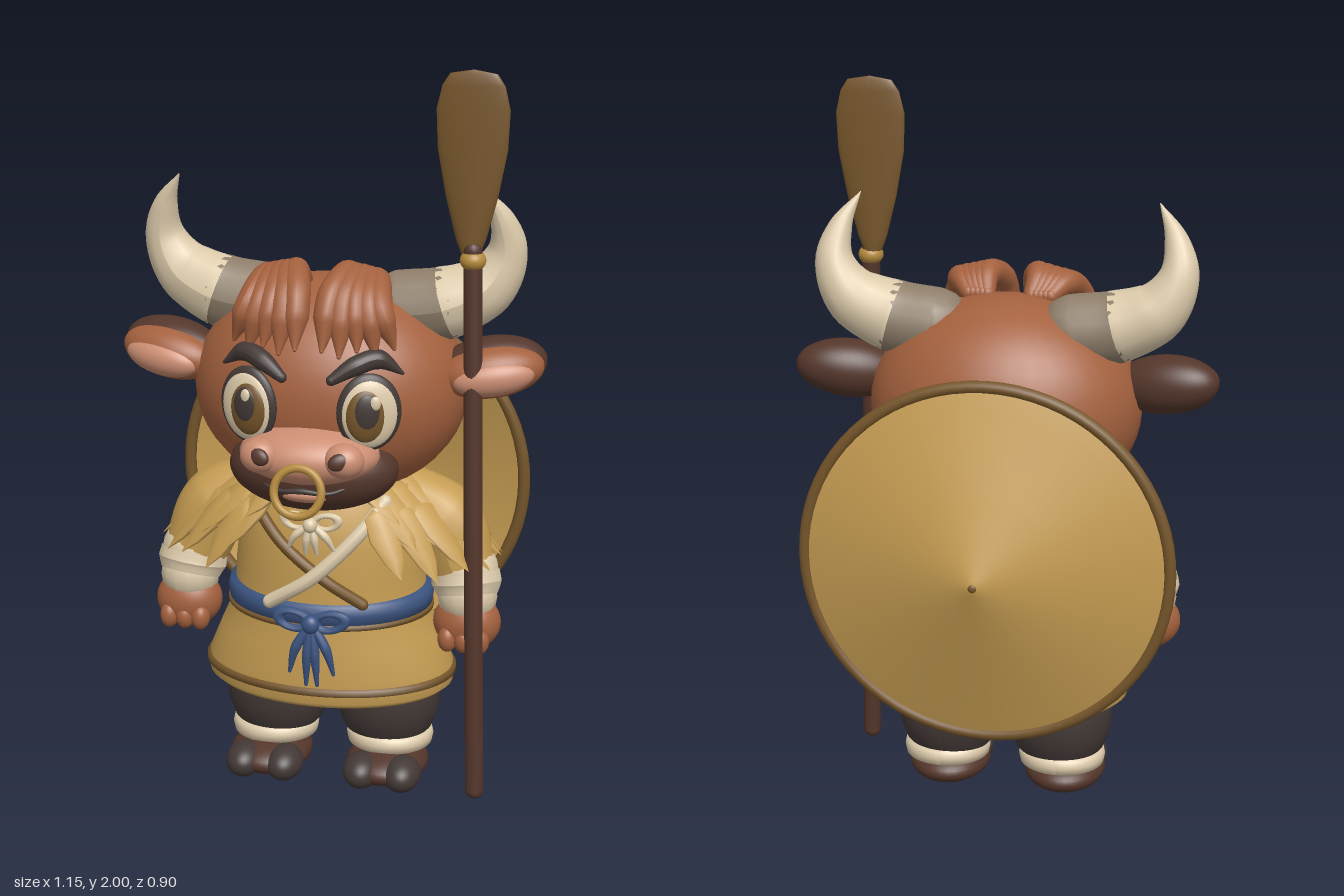
import * as THREE from 'three';

const mat = (name, color, side = THREE.FrontSide) => {
  const m = new THREE.MeshStandardMaterial({ color, side });
  m.name = name;
  return m;
};

export function createModel() {
  const fur = mat('fur', 0xa4613e);
  const dark = mat('darkBrown', 0x54362b);
  const pink = mat('pink', 0xcb8d72);
  const cream = mat('cream', 0xddcbab);
  const straw = mat('straw', 0xc59c52, THREE.DoubleSide);
  const blue = mat('blue', 0x3c5480);
  const charcoal = mat('charcoal', 0x433936);
  const wood = mat('wood', 0x75552a);
  const taupe = mat('taupe', 0x8f7f6b);
  const gold = mat('gold', 0xb48a3c);

  const root = new THREE.Group();
  root.name = 'bullFigure';
  const V = (p) => new THREE.Vector3(...p);

  const add = (name, geo, m, pos = [0, 0, 0], rot = [0, 0, 0], parent = root) => {
    const mesh = new THREE.Mesh(geo, m);
    mesh.name = name;
    mesh.position.set(...pos);
    mesh.rotation.set(...rot);
    parent.add(mesh);
    return mesh;
  };
  const ball = (name, m, pos, radii, rot, parent) =>
    add(name, new THREE.SphereGeometry(1, 36, 24).scale(...radii), m, pos, rot, parent);

  // Tube along a curve whose radius follows a list of radii, with round ends
  const taper = (name, m, pts, radii, from = 0, to = 1, parent = root) => {
    const curve = new THREE.CatmullRomCurve3(pts.map(V));
    const seg = 28, sides = 16;
    const part = new THREE.CatmullRomCurve3(
      Array.from({ length: seg + 1 }, (_, i) => curve.getPoint(from + (to - from) * i / seg)));
    const geo = new THREE.TubeGeometry(part, seg, 1, sides);
    const p = geo.attributes.position, v = new THREE.Vector3();
    const at = (t) => {
      const f = t * (radii.length - 1), i = Math.min(Math.floor(f), radii.length - 2);
      return THREE.MathUtils.lerp(radii[i], radii[i + 1], f - i);
    };
    for (let n = 0; n < p.count; n++) {
      const t = Math.floor(n / (sides + 1)) / seg, c = part.getPointAt(t);
      v.fromBufferAttribute(p, n).sub(c).multiplyScalar(at(from + (to - from) * t)).add(c);
      p.setXYZ(n, v.x, v.y, v.z);
    }
    geo.computeVertexNormals();
    const mesh = add(name, geo, m, undefined, undefined, parent);
    for (const [e, t] of [[0, from], [1, to]]) {
      const r = at(t);
      if (r > 0.002) {
        const c = part.getPointAt(e);
        add(name + 'End', new THREE.SphereGeometry(r * 0.99, 14, 10), m, [c.x, c.y, c.z], undefined, parent);
      }
    }
    return mesh;
  };

  // Oval cross-sections [y, rx, rz] stacked upward
  const loft = (name, m, rows, pos) => {
    const geo = new THREE.LatheGeometry(rows.map((r) => new THREE.Vector2(1, r[0])), 56, Math.PI);
    const p = geo.attributes.position;
    for (let n = 0; n < p.count; n++) {
      const [, rx, rz] = rows[n % rows.length];
      p.setX(n, p.getX(n) * rx);
      p.setZ(n, p.getZ(n) * rz);
    }
    geo.computeVertexNormals();
    return add(name, geo, m, pos);
  };

  const headZ = (x, y) => 0.03 + 0.3 * Math.sqrt(Math.max(0, 1 - (x / 0.37) ** 2 - ((y - 1.14) / 0.3) ** 2));

  // Head and muzzle
  ball('head', fur, [0, 1.14, 0.03], [0.37, 0.3, 0.29]);
  ball('muzzle', dark, [0, 0.975, 0.24], [0.225, 0.115, 0.13]);
  ball('nose', pink, [0, 1.025, 0.285], [0.185, 0.08, 0.125]);
  ball('lowerLip', pink, [0, 0.93, 0.3], [0.1, 0.03, 0.065]);
  taper('mouth', charcoal, [[-0.13, 0.965, 0.335], [-0.07, 0.945, 0.365], [0, 0.95, 0.375], [0.07, 0.945, 0.365], [0.13, 0.965, 0.335]], [0.003, 0.008, 0.003]);
  add('noseRing', new THREE.TorusGeometry(0.062, 0.011, 12, 40), gold, [0, 0.965, 0.425], [-0.25, 0, 0]);

  for (const s of [-1, 1]) {
    ball('nostrilBump', pink, [s * 0.11, 1.04, 0.375], [0.052, 0.046, 0.045]);
    ball('nostril', dark, [s * 0.105, 1.048, 0.41], [0.03, 0.022, 0.014], [-0.25, s * 0.25, s * 0.4]);

    // Eye: stacked shallow domes
    const eye = new THREE.Group();
    eye.name = 'eye';
    eye.position.set(s * 0.158, 1.15, headZ(0.158, 1.15) - 0.004);
    eye.rotation.y = s * 0.33;
    root.add(eye);
    ball('eyeRim', charcoal, [0, 0, 0], [0.084, 0.103, 0.026], [0, 0, 0], eye);
    ball('eyeWhite', cream, [0, -0.002, 0.007], [0.074, 0.092, 0.026], [0, 0, 0], eye);
    ball('iris', wood, [-s * 0.008, -0.004, 0.017], [0.055, 0.073, 0.021], [0, 0, 0], eye);
    ball('pupil', charcoal, [-s * 0.008, 0.004, 0.026], [0.037, 0.052, 0.015], [0, 0, 0], eye);
    ball('eyeGlint', cream, [0.012, 0.032, 0.034], [0.014, 0.019, 0.008], [0, 0, 0], eye);

    taper('eyebrow', charcoal, [[0.065, 1.235], [0.12, 1.268], [0.175, 1.282], [0.235, 1.245]]
      .map(([x, y]) => [s * x, y, headZ(x, y) + 0.012]), [0.014, 0.026, 0.026, 0.005]);

    // Ear
    const ear = new THREE.Group();
    ear.name = 'ear';
    ear.position.set(s * 0.435, 1.215, 0.04);
    ear.rotation.set(0, s * 0.25, s * 0.13);
    root.add(ear);
    ball('earBack', dark, [0, 0, -0.01], [0.148, 0.08, 0.08], [0, 0, 0], ear);
    ball('earFront', fur, [-s * 0.005, -0.005, 0.025], [0.14, 0.07, 0.075], [0, 0, 0], ear);
    ball('earInner', pink, [-s * 0.005, -0.012, 0.065], [0.108, 0.048, 0.045], [0, 0, 0], ear);

    // Horn with a dull base
    const path = [[0.19, 1.355, 0.01], [0.31, 1.375, 0.01], [0.415, 1.43, 0], [0.463, 1.52, 0.005], [0.45, 1.61, 0.03], [0.402, 1.697, 0.063]]
      .map(([x, y, z]) => [s * x, y, z]);
    const radii = [0.1, 0.098, 0.083, 0.056, 0.032, 0.001];
    taper('hornBase', taupe, path, radii, 0, 0.19);
    taper('horn', cream, path, radii, 0.19, 1);

    // Forelock strands
    for (let i = 0; i < 5; i++) {
      const x = 0.035 + i * 0.044, t = 0.06 + i * 0.013;
      taper('hairStrand', fur, [
        [s * t, 1.43, 0.075], [s * (t + 0.01 + i * 0.005), 1.47 - i * 0.004, 0.13],
        [s * (x * 0.6 + t * 0.4), 1.435 - i * 0.008, 0.23],
        [s * x, 1.305 - (i % 2) * 0.015, headZ(x, 1.3) + 0.02],
      ], [0.022, 0.036, 0.036, 0.033, 0.006]);
    }

    // Arm
    taper('sleeve', straw, [[s * 0.19, 0.84, 0.03], [s * 0.32, 0.77, 0.045], [s * 0.372, 0.66, 0.065]], [0.09, 0.105, 0.09]);
    taper('cuff', cream, [[s * 0.379, 0.645, 0.068], [s * 0.384, 0.615, 0.075], [s * 0.388, 0.585, 0.085]], [0.093, 0.096, 0.083]);
    ball('hand', fur, [s * 0.39, 0.51, 0.092], [0.092, 0.08, 0.076]);
    for (let i = 0; i < 3; i++)
      ball('finger', fur, [s * (0.345 + i * 0.044), 0.475, 0.145], [0.026, 0.036, 0.028]);

    // Leg and hoof
    loft('trouserLeg', charcoal, [[0.11, 0.09, 0.08], [0.15, 0.125, 0.11], [0.21, 0.145, 0.13], [0.27, 0.147, 0.13], [0.34, 0.135, 0.12], [0.4, 0.11, 0.1]], [s * 0.157, 0, 0.01]);
    loft('ankleBand', cream, [[0.09, 0.1, 0.09], [0.1, 0.118, 0.112], [0.12, 0.122, 0.116], [0.138, 0.118, 0.112], [0.148, 0.1, 0.09]], [s * 0.165, 0, 0.01]);
    ball('foot', dark, [s * 0.167, 0.056, 0.055], [0.114, 0.053, 0.14]);
    for (const k of [-1, 1])
      ball('hoofToe', charcoal, [s * 0.167 + k * 0.057, 0.056, 0.14], [0.052, 0.048, 0.07]);
  }

  // Tunic with hem and sash
  const Z = 0.035;
  loft('tunic', straw, [[0.32, 0, 0], [0.29, 0.325, 0.222], [0.305, 0.343, 0.235], [0.36, 0.342, 0.234], [0.45, 0.305, 0.226], [0.54, 0.265, 0.214],
    [0.64, 0.262, 0.212], [0.74, 0.25, 0.205], [0.83, 0.23, 0.19], [0.93, 0.16, 0.14]], [0, 0, Z]);
  loft('hemTrim', wood, [[0.325, 0.34, 0.23], [0.33, 0.351, 0.242], [0.347, 0.351, 0.242], [0.352, 0.335, 0.228]], [0, 0, Z]);
  loft('sashTrim', wood, [[0.512, 0.27, 0.21], [0.516, 0.286, 0.228], [0.528, 0.286, 0.228], [0.532, 0.26, 0.21]], [0, 0, Z]);
  loft('sash', blue, [[0.525, 0.26, 0.21], [0.531, 0.282, 0.226], [0.558, 0.286, 0.229], [0.582, 0.28, 0.224], [0.59, 0.255, 0.2]], [0, 0, Z]);

  // Bows: one on the sash, one at the collar
  const bow = (name, m, y, z, k, drop) => {
    ball(name + 'Knot', m, [0, y, z + 0.012], [0.024 * k, 0.026 * k, 0.02]);
    for (const s of [-1, 1]) {
      add(name + 'Loop', new THREE.TorusGeometry(0.032 * k, 0.012 * k, 10, 24).scale(1.3, 0.75, 1), m, [s * 0.05 * k, y + 0.006, z], [0, 0, s * 0.2]);
      for (const [w, f] of [[0.06, 0.8], [0.015, 1]])
        taper(name + 'Tail', m, [[0, y, z], [s * w * 0.7, y - drop * f * 0.5, z + 0.008], [s * w, y - drop * f, z]], [0.012 * k, 0.014 * k, 0.005]);
    }
  };
  bow('sashBow', blue, 0.543, 0.275, 1, 0.18);
  bow('collarBow', cream, 0.825, 0.275, 0.8, 0.085);

  // Crossed chest cords
  taper('brownCord', wood, [[-0.19, 0.85, 0.17], [-0.09, 0.75, 0.236], [0.03, 0.66, 0.254], [0.13, 0.59, 0.232]], [0.016, 0.016]);
  taper('creamCord', cream, [[0.18, 0.87, 0.19], [0.12, 0.79, 0.245], [0.0, 0.67, 0.275], [-0.12, 0.585, 0.25]], [0.019, 0.019]);

  // Straw cape: three overlapping rows of leaves
  const leafProfile = [[0, 0], [0.4, 0.1], [0.5, 0.4], [0.3, 0.75], [0, 1]].map((p) => new THREE.Vector2(...p));
  const cape = new THREE.Group();
  cape.name = 'strawCape';
  root.add(cape);
  const rows = [
    [0.3, 0.22, 0.86, 0.475, 0.3, 0.69, 26],
    [0.23, 0.185, 0.905, 0.42, 0.285, 0.755, 24],
    [0.16, 0.15, 0.94, 0.35, 0.26, 0.82, 20],
  ];
  rows.forEach(([tx, tz, ty, bx, bz, by, n], r) => {
    for (let i = 0; i < n; i++) {
      const a = (i + (r % 2) * 0.5 + 0.25) / n * Math.PI * 2;
      if (Math.cos(a) > 0.88) continue;
      const sn = Math.sin(a), cs = Math.cos(a);
      const top = V([sn * tx, ty, cs * tz + 0.03]);
      const d = V([sn * bx, by - (i % 2) * 0.02, cs * bz + 0.03]).sub(top);
      const len = d.length();
      d.normalize();
      const side = V([cs * tx, 0, -sn * tz]);
      side.addScaledVector(d, -side.dot(d)).normalize();
      const geo = new THREE.LatheGeometry(leafProfile, 6).scale(0.095, len, 0.028);
      geo.applyMatrix4(new THREE.Matrix4().makeBasis(side, d, side.clone().cross(d)));
      add('capeLeaf', geo, straw, [top.x, top.y, top.z], undefined, cape);
    }
  });

  // Conical hat carried on the back
  const hat = [[0.49, 0], [0.44, 0.018], [0.22, 0.092], [0.025, 0.163], [0, 0.168]].map((p) => new THREE.Vector2(...p));
  add('hatCone', new THREE.LatheGeometry(hat, 72).rotateX(-Math.PI / 2), straw, [0, 0.785, -0.28]);
  add('hatRim', new THREE.TorusGeometry(0.488, 0.017, 12, 72), wood, [0, 0.785, -0.275]);
  ball('hatTip', wood, [0, 0.785, -0.445], [0.011, 0.011, 0.006]);

  // Oar held in the left hand
  taper('oarShaft', dark, [[0.434, 0.055, 0.188], [0.41, 0.8, 0.15], [0.388, 1.54, 0.108]], [0.025, 0.025]);
  ball('oarCollar', gold, [0.389, 1.515, 0.11], [0.034, 0.028, 0.034]);
  loft('oarBlade', wood, [[1.53, 0.025, 0.02], [1.57, 0.04, 0.022], [1.68, 0.068, 0.02], [1.8, 0.09, 0.018], [1.9, 0.094, 0.015],
    [1.96, 0.08, 0.012], [1.99, 0.06, 0.008], [2.0, 0, 0]], [0.381, 0, 0.1]);

  return root;
}
